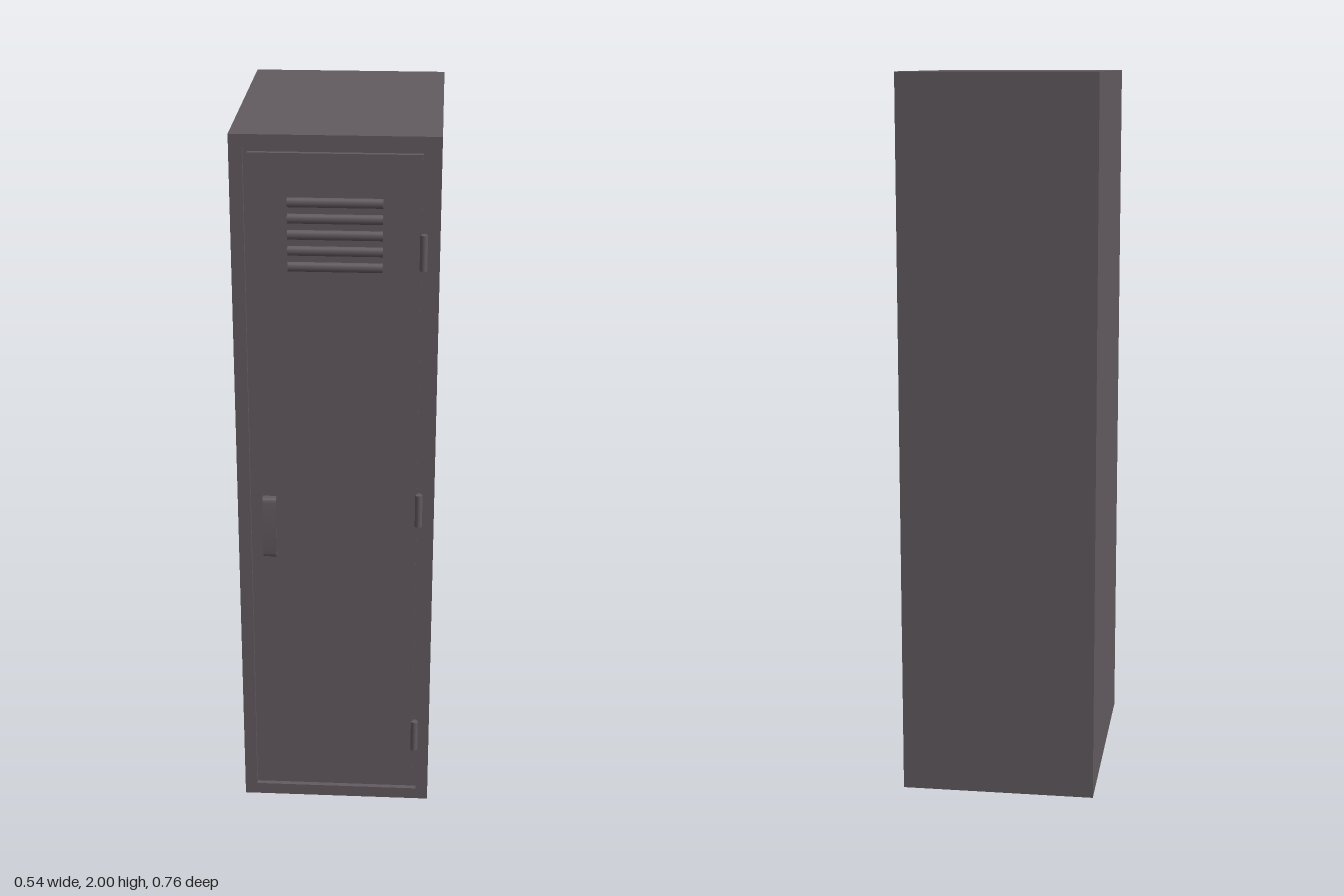
import * as THREE from 'three';
import { toCreasedNormals } from 'three/addons/utils/BufferGeometryUtils.js';

const W = 0.54, H = 2, BACK = -0.38, FRONT = 0.355;
const RIM = 0.035, GAP = 0.012, DEPTH = 0.014;

export function createModel() {
  const group = new THREE.Group();
  const paint = new THREE.MeshStandardMaterial({ color: 0x625a60 });
  paint.name = 'grey paint';

  const add = (name, geometry, x, y, z) => {
    const mesh = new THREE.Mesh(geometry, paint);
    mesh.name = name;
    mesh.position.set(x, y, z);
    group.add(mesh);
    return mesh;
  };

  // Cabinet body, behind the door
  const bodyDepth = FRONT - DEPTH - BACK;
  add('body', new THREE.BoxGeometry(W, H, bodyDepth), 0, H / 2, BACK + bodyDepth / 2);

  // Frame around the door opening
  const rectangle = (Type, inset) => {
    const x = W / 2 - inset, y = H / 2 - inset;
    return new Type([[-x, -y], [x, -y], [x, y], [-x, y]].map(p => new THREE.Vector2(...p)));
  };
  const frame = rectangle(THREE.Shape, 0);
  frame.holes.push(rectangle(THREE.Path, RIM));
  add('doorFrame', new THREE.ExtrudeGeometry(frame, { depth: DEPTH, bevelEnabled: false }),
    0, H / 2, FRONT - DEPTH);

  // Flush door, leaving a narrow groove all round
  const inset = 2 * (RIM + GAP);
  add('door', new THREE.BoxGeometry(W - inset, H - inset, DEPTH), 0, H / 2, FRONT - DEPTH / 2);

  // Rounded louvres
  for (let i = 0; i < 5; i++) {
    const vent = new THREE.CylinderGeometry(0.013, 0.013, 0.246, 16);
    vent.rotateZ(Math.PI / 2).scale(1, 1, 0.75);
    add('vent' + (i + 1), vent, 0, 1.653 + i * 0.043, FRONT);
  }

  // Hinge barrels over the groove
  [0.224, 0.957, 1.697].forEach((y, i) =>
    add('hinge' + (i + 1), new THREE.CylinderGeometry(0.01, 0.01, 0.096, 16), 0.228, y, FRONT + 0.002));

  // Bowed handle: bracket profile in depth and height, extruded across
  const h = 0.09, out = 0.025, t = 0.006;
  const profile = new THREE.Shape();
  profile.moveTo(-0.004, -h);
  profile.lineTo(0.014, -h);
  profile.quadraticCurveTo(0.021, -h, 0.022, -h + 0.014);
  profile.quadraticCurveTo(out + 0.003, 0, 0.022, h - 0.014);
  profile.quadraticCurveTo(0.021, h, 0.014, h);
  profile.lineTo(-0.004, h);
  profile.lineTo(-0.004, h - t);
  profile.lineTo(0.012, h - t);
  profile.quadraticCurveTo(0.016, h - t, 0.016, h - 0.016);
  profile.quadraticCurveTo(out - 0.003, 0, 0.016, -h + 0.016);
  profile.quadraticCurveTo(0.016, -h + t, 0.012, -h + t);
  profile.lineTo(-0.004, -h + t);
  profile.closePath();
  const handle = new THREE.ExtrudeGeometry(profile, { depth: 0.037, bevelEnabled: false, curveSegments: 10 });
  handle.translate(0, 0, -0.0185).rotateY(-Math.PI / 2);
  add('handle', toCreasedNormals(handle, 0.7), -0.1815, 0.9, FRONT);

  return group;
}
